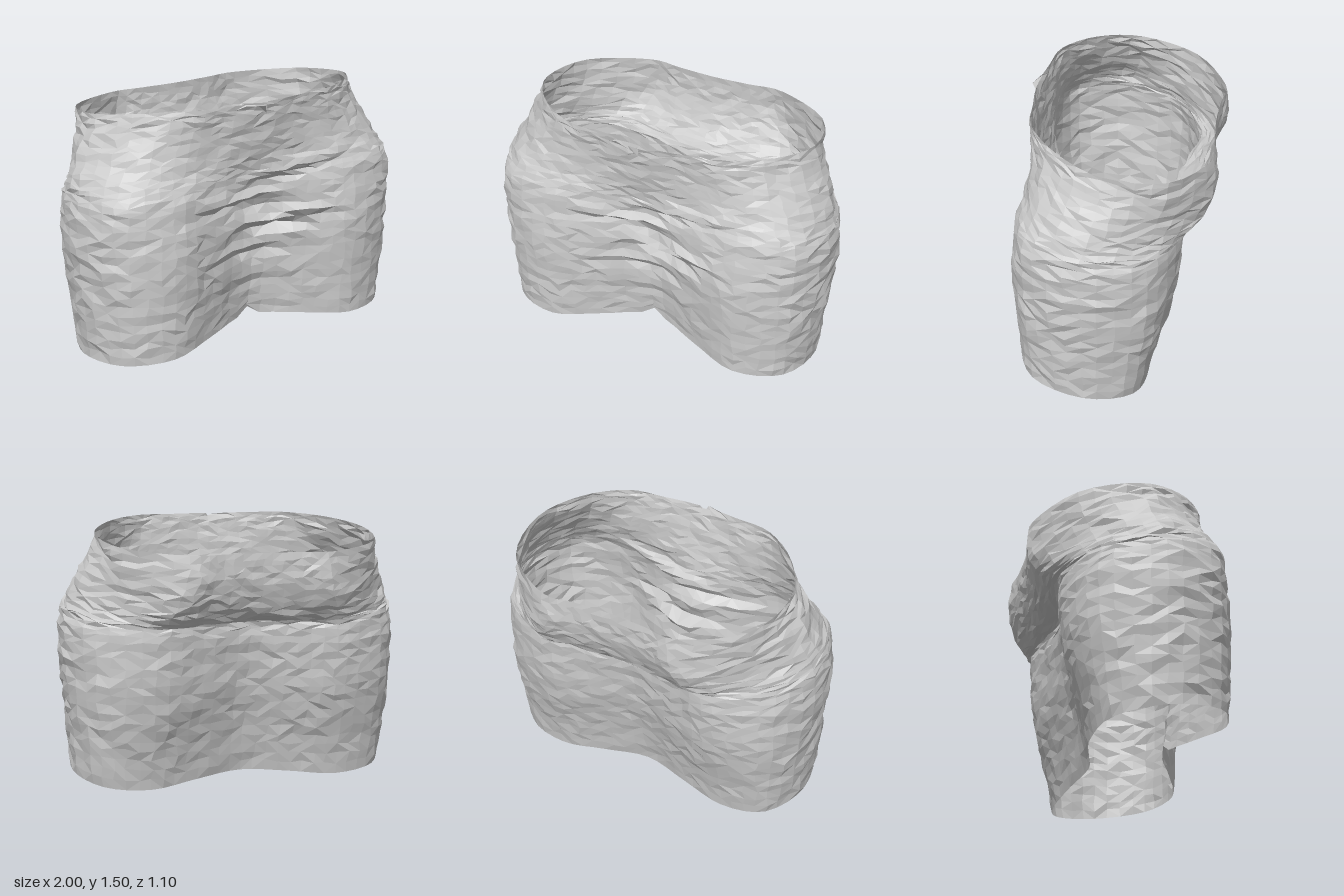
import * as THREE from 'three';

const V = (x, y, z) => new THREE.Vector3(x, y, z);
const lerp = THREE.MathUtils.lerp;

// Horizontal loops from hem to waist:
// front y, back y, half width, front centre z, front lobe z, back lobe z, back centre z
const LOOPS = [
  [0.12, 0.00, 0.94, 0.31, 0.51, -0.22, -0.12],
  [0.28, 0.20, 0.955, 0.33, 0.52, -0.26, -0.16],
  [0.45, 0.38, 0.97, 0.35, 0.53, -0.315, -0.20],
  [0.62, 0.55, 0.985, 0.365, 0.54, -0.355, -0.24],
  [0.78, 0.72, 1.00, 0.38, 0.535, -0.375, -0.27],
  [0.92, 0.87, 0.995, 0.40, 0.52, -0.385, -0.295],
  [1.04, 0.945, 0.98, 0.415, 0.50, -0.385, -0.30],
  [1.12, 0.96, 0.965, 0.43, 0.47, -0.43, -0.38],
  [1.22, 1.02, 0.935, 0.45, 0.44, -0.48, -0.45],
  [1.33, 1.12, 0.89, 0.465, 0.43, -0.525, -0.49],
  [1.43, 1.23, 0.835, 0.48, 0.43, -0.54, -0.51],
  [1.495, 1.345, 0.81, 0.49, 0.43, -0.53, -0.51],
];

// One closed loop, mirrored about x = 0, starting at the front centre
function loopCurve([yF, yB, w, fc, fl, bl, bc], i) {
  const t = i / (LOOPS.length - 1);
  const s = THREE.MathUtils.smoothstep(t, 0.5, 1);       // narrowing to the waist
  const belly = Math.sin(Math.PI * Math.min(1, t * 1.3)); // fullness at mid height
  const y = (k) => lerp(yF, yB, k);
  const raise = 0.045 * Math.max(0, 1 - t * 4);           // hem lifts at the centre
  const half = [
    V(0, yF + raise, fc),
    V(lerp(0.3, 0.24, s), yF + raise * 0.6, lerp(fc, fl, lerp(0.55, 0.4, s))),
    V(lerp(0.58, 0.46, s), yF, fl),
    V(lerp(0.85, 0.68, s) + 0.03 * belly, y(0.15), lerp(0.40, 0.26, s) + 0.02 * belly),
    V(w, y(0.45), lerp(0.10, 0.0, s)),
    V(lerp(0.82, 0.73, s) + 0.05 * belly, y(0.8), lerp(-0.16, -0.33, s) - 0.08 * belly),
    V(lerp(0.56, 0.42, s), yB, bl),
    V(lerp(0.28, 0.22, s), yB + raise * 0.6, lerp(bc, bl, 0.55)),
    V(0, yB + raise, bc),
  ];
  const other = half.slice(1, -1).reverse().map((p) => V(-p.x, p.y, p.z));
  return new THREE.CatmullRomCurve3([...half, ...other], true, 'catmullrom', 0.5);
}

// Pulled folds across the front: y, x of the centre, half length, depth, slope
const FOLDS = [
  [0.76, 0.12, 0.42, 0.045, 0.12],
  [0.92, -0.12, 0.40, 0.035, -0.05],
  [1.06, 0.2, 0.45, 0.025, 0.15],
  [0.62, 0.0, 0.45, 0.02, 0.05],
  [0.42, -0.05, 0.40, 0.012, 0],
];
const bell = (v) => Math.exp(-v * v);
function foldDepth(p) {
  let d = 0;
  for (const [y, x, len, depth, slope] of FOLDS) {
    const v = (p.y - y - slope * (p.x - x)) / 0.035;
    const u = (p.x - x) / len;
    d += depth * bell(u * 1.6) * (bell(v - 0.8) - bell(v + 0.8));
  }
  return d;
}

function seeded(seed) {
  return () => {
    seed = (seed * 16807) % 2147483647;
    return seed / 2147483647 - 0.5;
  };
}

function skirtGeometry() {
  const cols = 64, rows = 36, rnd = seeded(71);
  const loops = LOOPS.map(loopCurve);
  const grid = [];
  for (let j = 0; j < cols; j++) {
    const up = new THREE.CatmullRomCurve3(loops.map((c) => c.getPoint(j / cols)), false, 'catmullrom', 0.5);
    for (let i = 0; i <= rows; i++) {
      const p = up.getPoint(i / rows);
      if (p.z > 0.15) p.z += foldDepth(p);
      // uneven cloth facets inside the two rims
      if (i > 0 && i < rows) p.add(V(rnd() * 0.022, rnd() * 0.02, rnd() * 0.012));
      p.x = THREE.MathUtils.clamp(p.x, -1, 1);
      p.y = Math.max(0, p.y);
      grid.push(p);
    }
  }
  const id = (i, j) => ((j + cols) % cols) * (rows + 1) + i;

  // Small nicks at the front centre of the waist and hem
  grid[id(rows, 0)].y -= 0.06;
  grid[id(rows, -1)].add(V(0.035, -0.01, 0.035));
  grid[id(rows, 1)].x -= 0.05;
  grid[id(0, 0)].y += 0.05;
  grid[id(1, 0)].y += 0.03;

  const index = [];
  for (let j = 0; j < cols; j++) {
    for (let i = 0; i < rows; i++) {
      const a = id(i, j), b = id(i, j + 1), c = id(i + 1, j + 1), d = id(i + 1, j);
      if (rnd() > 0) index.push(a, b, c, a, c, d);
      else index.push(a, b, d, b, c, d);
    }
  }
  const g = new THREE.BufferGeometry().setFromPoints(grid);
  g.setIndex(index);
  const flat = g.toNonIndexed();
  flat.computeVertexNormals();
  return flat;
}

export function createModel() {
  const group = new THREE.Group();
  group.name = 'miniSkirt';
  const cloth = new THREE.MeshStandardMaterial({
    color: 0xcccccc, flatShading: true, side: THREE.DoubleSide,
  });
  const skirt = new THREE.Mesh(skirtGeometry(), cloth);
  skirt.name = 'skirtCloth';
  group.add(skirt);
  return group;
}
